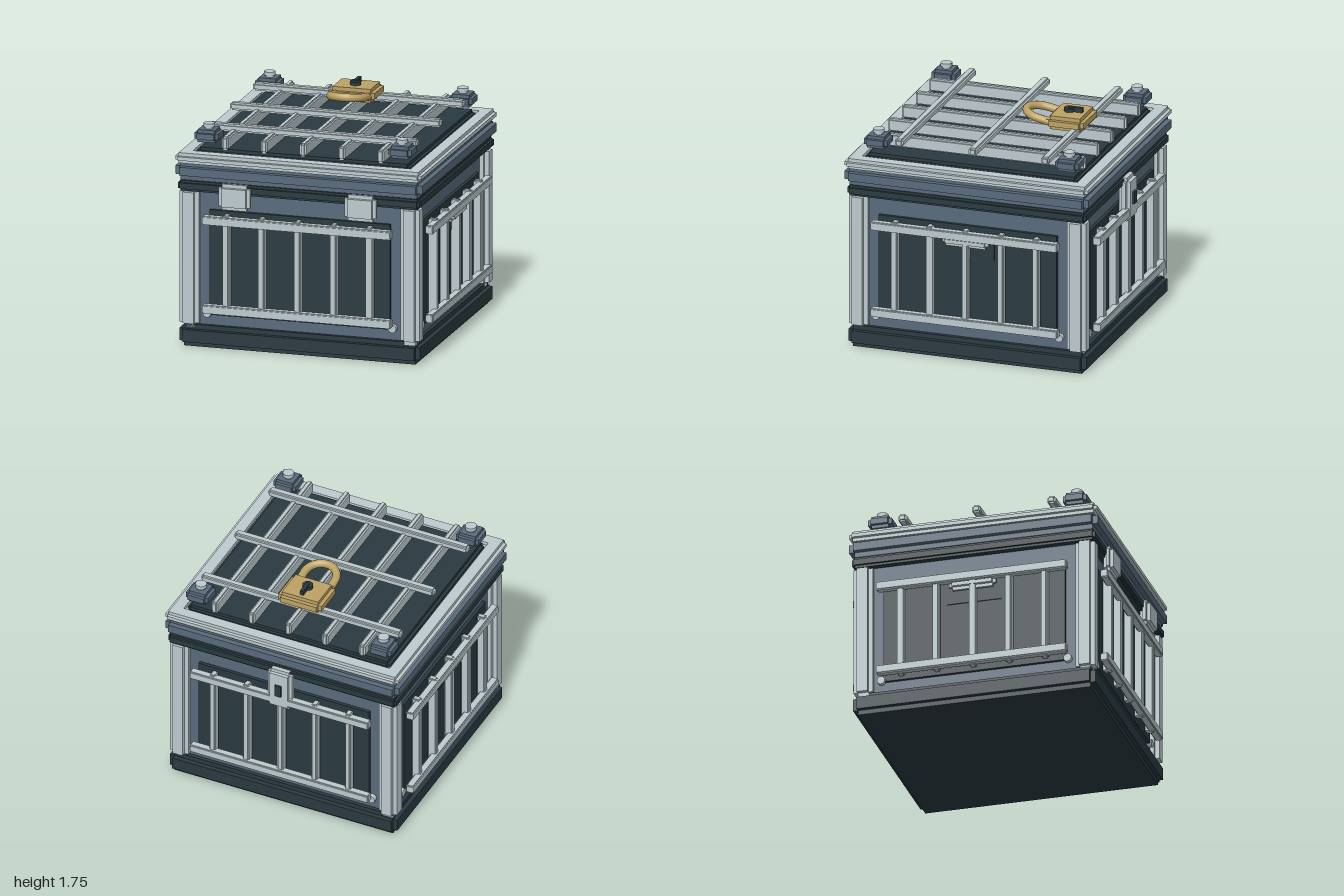
import * as THREE from 'three';

const mat = (name, hex) => {
  const m = new THREE.MeshStandardMaterial({ color: hex });
  m.name = name;
  return m;
};

export function createModel() {
  const dark = mat('dark iron', 0x2a3a40);
  const slate = mat('slate steel', 0x596b7c);
  const light = mat('pale steel', 0xbdcbcf);
  const brass = mat('brass', 0xbca264);

  const model = new THREE.Group();
  model.name = 'barredStrongbox';
  const crate = new THREE.Group();
  crate.name = 'crate';
  crate.position.z = 0.01;
  model.add(crate);

  // Box given by its min and max along each axis
  const box = (parent, name, m, [x0, x1], [y0, y1], [z0, z1]) => {
    const mesh = new THREE.Mesh(new THREE.BoxGeometry(x1 - x0, y1 - y0, z1 - z0), m);
    mesh.position.set((x0 + x1) / 2, (y0 + y1) / 2, (z0 + z1) / 2);
    mesh.name = name;
    parent.add(mesh);
  };
  // Box with notched edges: three boxes, each full along one axis and inset by b on the others
  const notched = (parent, name, m, ranges, b) => {
    const g = new THREE.Group();
    g.name = name;
    parent.add(g);
    for (let axis = 0; axis < 3; axis++) {
      const r = ranges.map(([lo, hi], i) => (i === axis ? [lo, hi] : [lo + b, hi - b]));
      box(g, name, m, ...r);
    }
  };
  const slab = (name, m, half, y0, y1, b) =>
    notched(crate, name, m, [[-half, half], [y0, y1], [-half, half]], b);
  const cylinder = (parent, name, m, r, h, x, y, z, sides = 16) => {
    const mesh = new THREE.Mesh(new THREE.CylinderGeometry(r, r, h, sides), m);
    mesh.position.set(x, y, z);
    mesh.name = name;
    parent.add(mesh);
    return mesh;
  };

  // Base, body and stacked lid layers
  slab('base', dark, 0.935, 0, 0.168, 0.036);
  box(crate, 'body', slate, [-0.87, 0.87], [0.15, 1.21], [-0.87, 0.87]);
  slab('seal', dark, 0.938, 1.195, 1.276, 0.018);
  slab('lid', slate, 0.96, 1.28, 1.424, 0.04);
  slab('lidPlate', dark, 0.83, 1.41, 1.508, 0.025);

  // Corner posts, and bolted blocks on top of the lid
  for (const sx of [-1, 1]) {
    for (const sz of [-1, 1]) {
      const span = (s, a, b) => (s > 0 ? [a, b] : [-b, -a]);
      notched(crate, 'cornerPost', light,
        [span(sx, 0.783, 0.932), [0.145, 1.22], span(sz, 0.783, 0.932)], 0.033);
      notched(crate, 'boltBlock', slate,
        [span(sx, 0.66, 0.843), [1.55, 1.645], span(sz, 0.66, 0.843)], 0.025);
      cylinder(crate, 'boltNeck', light, 0.034, 0.04, sx * 0.75, 1.65, sz * 0.75);
      cylinder(crate, 'boltHead', light, 0.043, 0.028, sx * 0.75, 1.672, sz * 0.75);
    }
  }

  // Each wall: panel, rails, bars and the lid frame edge above it
  const walls = ['frontWall', 'leftWall', 'backWall', 'rightWall'].map((name, i) => {
    const g = new THREE.Group();
    g.name = name;
    g.rotation.y = (i * Math.PI) / 2;
    crate.add(g);
    box(g, 'panel', dark, [-0.7, 0.7], [0.25, 1.058], [0.83, 0.895]);
    for (const y of [0.28, 0.963]) {
      notched(g, 'rail', light, [[-0.735, 0.735], [y, y + 0.066], [0.925, 0.987]], 0.008);
    }
    for (const x of [-0.555, -0.28, 0, 0.28, 0.555]) {
      notched(g, 'bar', light, [[x - 0.024, x + 0.024], [0.27, 1.04], [0.9, 0.966]], 0.008);
    }
    for (const x of [-0.72, 0.72]) {
      cylinder(g, 'railBolt', light, 0.031, 0.06, x, 0.26, 0.875, 12).rotation.x = Math.PI / 2;
    }
    notched(g, 'lidFrame', light, [[-0.955, 0.955], [1.408, 1.488], [0.82, 0.957]], 0.026);
    return g;
  });
  const [front, left, back, right] = walls;

  // Front hinges
  for (const x of [-0.49, 0.49]) {
    notched(front, 'hinge', light, [[x - 0.123, x + 0.123], [1.083, 1.282], [0.905, 0.985]], 0.028);
  }

  // Side handles with their dark recess plates
  for (const g of [left, right]) {
    box(g, 'handleRecess', dark, [-0.21, 0.21], [0.81, 0.962], [0.87, 0.903]);
    notched(g, 'handle', light, [[-0.18, 0.18], [0.903, 0.982], [0.9, 0.97]], 0.025);
  }

  // Back latch with keyhole
  notched(back, 'latch', light, [[-0.1, 0.1], [0.925, 1.265], [0.9, 0.988]], 0.027);
  box(back, 'latchKeyhole', dark, [-0.025, 0.025], [1.05, 1.145], [0.98, 1.005]);

  // Lid grille: long bars crossed by three rods
  for (const x of [-0.605, -0.302, 0, 0.302, 0.605]) {
    notched(crate, 'lidBar', light, [[x - 0.026, x + 0.026], [1.503, 1.606], [-0.828, 0.828]], 0.013);
  }
  for (const z of [-0.58, -0.01, 0.57]) {
    notched(crate, 'crossRod', light, [[-0.82, 0.82], [1.582, 1.642], [z - 0.033, z + 0.033]], 0.014);
  }

  // Padlock lying on the grille
  const lock = new THREE.Group();
  lock.name = 'padlock';
  model.add(lock);
  notched(lock, 'lockBody', brass, [[-0.178, 0.178], [1.61, 1.715], [-0.638, -0.343]], 0.03);
  cylinder(lock, 'keyholeRound', dark, 0.041, 0.03, 0, 1.727, -0.475, 20);
  box(lock, 'keyholeSlot', dark, [-0.014, 0.014], [1.708, 1.752], [-0.58, -0.47]);

  // Shackle: a U tilted upward away from the body
  const path = [];
  const put = (x, z) => path.push(new THREE.Vector3(x, 1.657 + (z + 0.37) * 0.2, z));
  put(-0.125, -0.39);
  put(-0.125, -0.33);
  for (let i = 0; i <= 12; i++) {
    const a = Math.PI * (1 - i / 12);
    put(Math.cos(a) * 0.125, -0.27 + Math.sin(a) * 0.125);
  }
  put(0.125, -0.33);
  put(0.125, -0.39);
  const shackle = new THREE.Mesh(
    new THREE.TubeGeometry(new THREE.CatmullRomCurve3(path), 40, 0.031, 12), brass);
  shackle.name = 'shackle';
  lock.add(shackle);

  return model;
}
